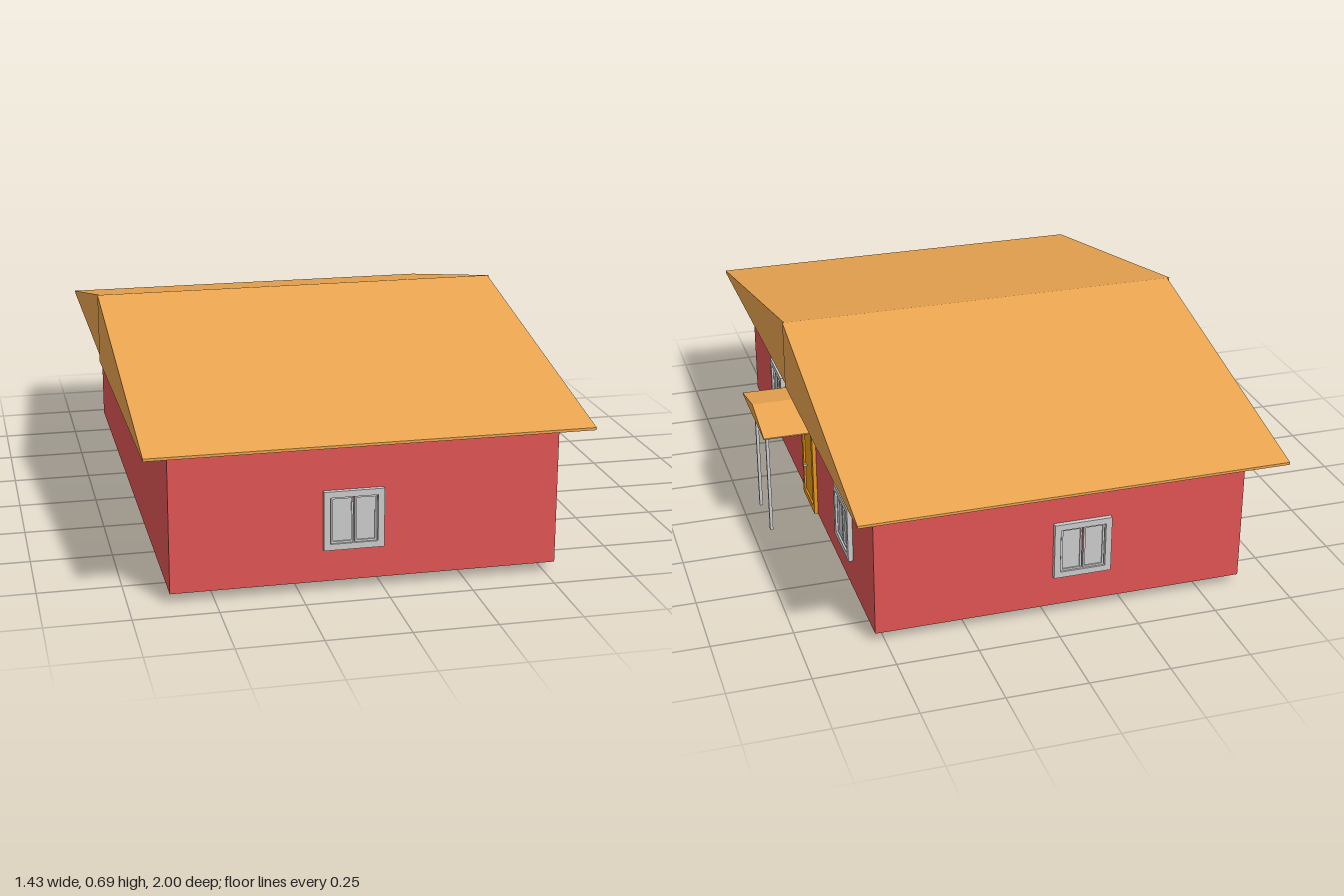
import * as THREE from 'three';

const paint = (color) => new THREE.MeshStandardMaterial({ color });
const RED = paint(0xe05454);
const ROOF = paint(0xeaa550);
const DOOR = paint(0xe8971a);
const GREY = paint(0xcccccc);

function add(parent, name, geometry, material) {
  const mesh = new THREE.Mesh(geometry, material);
  mesh.name = name;
  parent.add(mesh);
  return mesh;
}

// Box given by its lower and upper corners
function box(parent, name, [x0, y0, z0], [x1, y1, z1], material) {
  const mesh = add(parent, name, new THREE.BoxGeometry(x1 - x0, y1 - y0, z1 - z0), material);
  mesh.position.set((x0 + x1) / 2, (y0 + y1) / 2, (z0 + z1) / 2);
  return mesh;
}

// Prism with a (z, y) outline running along x
function prism(outline, xMin, xMax) {
  const shape = new THREE.Shape(outline.map(([z, y]) => new THREE.Vector2(z, y)));
  return new THREE.ExtrudeGeometry(shape, { depth: xMax - xMin, bevelEnabled: false })
    .rotateY(-Math.PI / 2)
    .translate(xMax, 0, 0);
}

// Flat rectangular frame facing +z, centred on its origin
function frameGeometry(w, h, border, depth) {
  const rect = (Type, a, b) => new Type([
    new THREE.Vector2(-a, -b), new THREE.Vector2(a, -b),
    new THREE.Vector2(a, b), new THREE.Vector2(-a, b),
  ]);
  const shape = rect(THREE.Shape, w / 2, h / 2);
  shape.holes.push(rect(THREE.Path, w / 2 - border, h / 2 - border));
  return new THREE.ExtrudeGeometry(shape, { depth, bevelEnabled: false });
}

// Two-sash window facing +z with its back on z = 0
function createWindow(name) {
  const win = new THREE.Group();
  win.name = name;
  add(win, 'windowFrame', frameGeometry(0.18, 0.18, 0.019, 0.015), GREY);
  for (const side of [-1, 1]) {
    const x = side * 0.0355;
    add(win, 'sash', frameGeometry(0.066, 0.142, 0.006, 0.009), GREY).position.x = x;
    box(win, 'pane', [x - 0.03, -0.066, 0], [x + 0.03, 0.066, 0.005], GREY);
  }
  box(win, 'windowHandle', [-0.01, 0.055, 0.009], [-0.005, 0.07, 0.014], GREY);
  return win;
}

export function createModel() {
  const house = new THREE.Group();
  house.name = 'house';

  box(house, 'walls', [-0.63, 0.03, -0.87], [0.53, 0.462, 0.91], RED);

  // Main roof in two halves, the front one slightly askew
  const ridge = -0.035;
  add(house, 'roofBack', prism(
    [[-1, 0.467], [ridge, 0.467], [ridge, 0.69], [-1, 0.475]], -0.71, 0.605), ROOF);
  const front = prism(
    [[ridge, 0.467], [1, 0.467], [1, 0.475], [ridge, 0.69]], -0.718, 0.6);
  const p = front.attributes.position;
  for (let i = 0; i < p.count; i++) p.setX(i, p.getX(i) + 0.01 * (p.getZ(i) - ridge));
  front.computeVertexNormals();
  add(house, 'roofFront', front, ROOF);

  // Windows: position and turn about the vertical
  const windows = [
    ['frontWindow', -0.09, 0.91, 0],
    ['backWindow', -0.11, -0.87, Math.PI],
    ['sideWindowFront', 0.53, 0.45, Math.PI / 2],
    ['sideWindowBack', 0.53, -0.52, Math.PI / 2],
  ];
  for (const [name, x, z, turn] of windows) {
    const win = createWindow(name);
    win.position.set(x, 0.22, z);
    win.rotation.y = turn;
    house.add(win);
  }

  // Door with frame, raised leaf and handle
  const door = new THREE.Group();
  door.name = 'door';
  const casing = add(door, 'doorFrame', frameGeometry(0.165, 0.33, 0.022, 0.012), DOOR);
  casing.position.set(0.53, 0.197, ridge);
  casing.rotation.y = Math.PI / 2;
  box(door, 'doorLeaf', [0.525, 0.04, ridge - 0.06], [0.536, 0.352, ridge + 0.06], DOOR);
  box(door, 'doorHandle', [0.536, 0.145, 0.008], [0.547, 0.152, 0.018], GREY);
  house.add(door);

  // Porch: two posts, a flat slab and a small gabled roof
  const porch = new THREE.Group();
  porch.name = 'porch';
  for (const z of [ridge - 0.085, ridge + 0.088]) {
    box(porch, 'porchPost', [0.683, 0, z - 0.005], [0.693, 0.367, z + 0.005], GREY);
  }
  box(porch, 'porchSlab', [0.53, 0.366, ridge - 0.09], [0.693, 0.376, ridge + 0.093], GREY);
  add(porch, 'porchRoof', prism(
    [[-0.215, 0.377], [0.138, 0.377], [0.138, 0.381], [ridge, 0.418], [-0.215, 0.381]],
    0.555, 0.715), ROOF);
  house.add(porch);

  return house;
}
